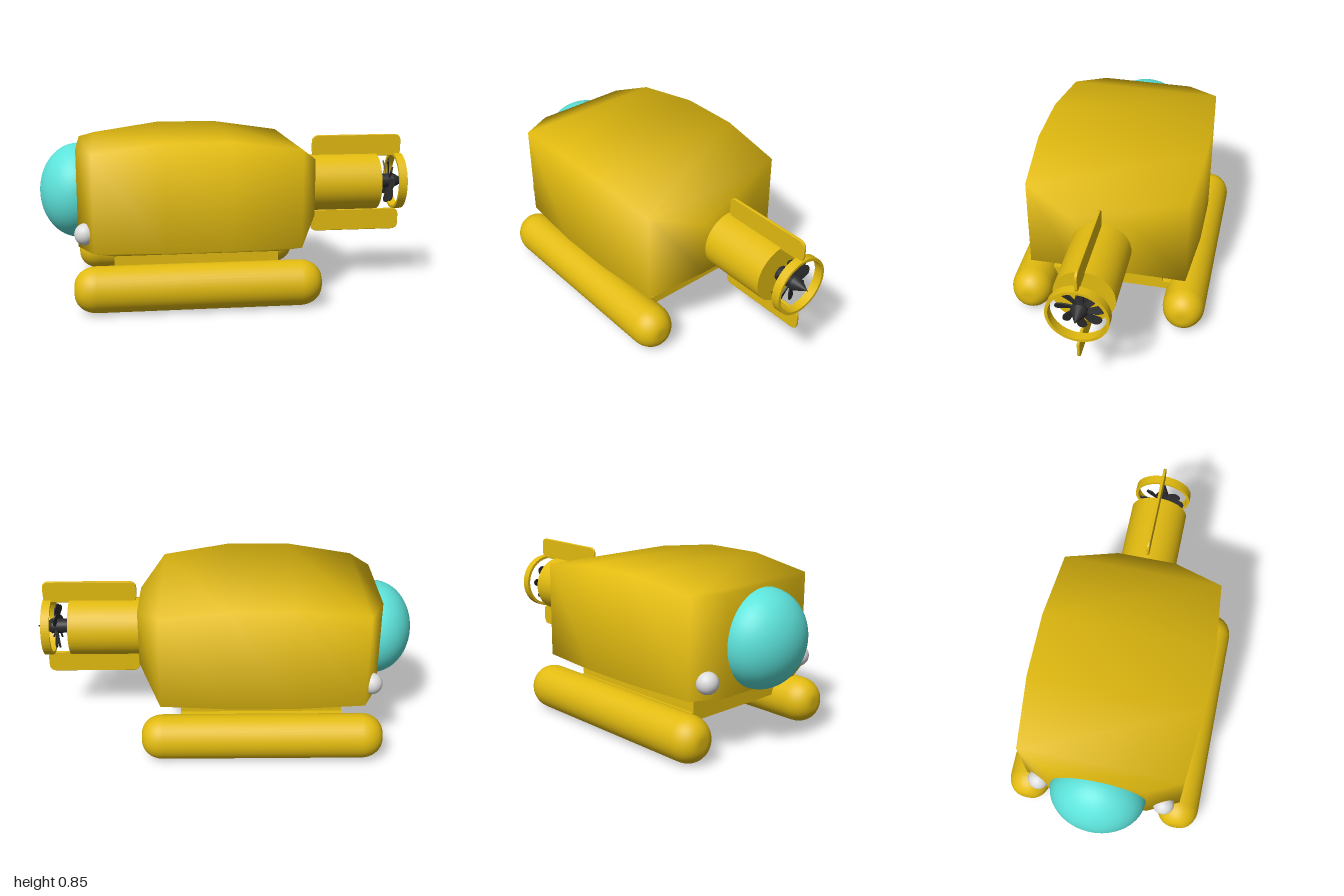
import * as THREE from 'three';
import { mergeVertices } from 'three/addons/utils/BufferGeometryUtils.js';

const material = (name, color) => {
  const m = new THREE.MeshStandardMaterial({ color });
  m.name = name;
  return m;
};

export function createModel() {
  const yellow = material('yellow paint', 0xe2bb10);
  const cyan = material('cyan glass', 0x5ce2da);
  const black = material('black metal', 0x2b2b2d);
  const white = material('white lamp', 0xdcdcdc);
  const model = new THREE.Group();
  model.name = 'submarine';

  const add = (name, geometry, mat, x = 0, y = 0, z = 0, parent = model) => {
    const mesh = new THREE.Mesh(geometry, mat);
    mesh.name = name;
    mesh.position.set(x, y, z);
    parent.add(mesh);
    return mesh;
  };
  // Cylinder or cone lying along x, from x0 (radius r0) to x1 (radius r1)
  const rod = (x0, x1, r0, r1) =>
    new THREE.CylinderGeometry(r1, r0, x1 - x0, 40).rotateZ(-Math.PI / 2).translate((x0 + x1) / 2, 0, 0);

  // Hull: smooth loft of box sections [x, bottom, top, half width], tapering down to the keel
  const sections = [
    [-0.8, 0.3, 0.8, 0.25], [-0.72, 0.3, 0.8, 0.415], [-0.36, 0.3, 0.85, 0.445],
    [-0.03, 0.3, 0.85, 0.445], [0.33, 0.3, 0.8, 0.415], [0.45, 0.41, 0.71, 0.155],
  ];
  const points = [], faces = [];
  const quad = (a, b, c, d) => faces.push(a, b, c, a, c, d);
  sections.forEach(([x, y0, y1, w], i) => {
    const kx = THREE.MathUtils.clamp(x, -0.62, 0.23);
    points.push(x, y1, w, x, y0, w, kx, 0.25, 0.28, kx, 0.25, -0.28, x, y0, -w, x, y1, -w);
    if (i === 0) return;
    const p = (i - 1) * 6, q = i * 6;
    for (let k = 0; k < 6; k++) {
      const n = (k + 1) % 6;
      quad(p + k, p + n, q + n, q + k);
    }
  });
  const e = (sections.length - 1) * 6;
  quad(0, 5, 4, 1);
  quad(1, 4, 3, 2);
  quad(e, e + 1, e + 4, e + 5);
  quad(e + 1, e + 2, e + 3, e + 4);
  let hull = new THREE.BufferGeometry();
  hull.setAttribute('position', new THREE.Float32BufferAttribute(points, 3));
  hull.setIndex(faces);
  hull = mergeVertices(hull);
  hull.computeVertexNormals();
  add('hull', hull, yellow);

  // Keel and the platform that carries the floats
  add('keel', new THREE.BoxGeometry(0.85, 0.09, 0.56), yellow, -0.195, 0.21, 0);
  add('floatPlatform', new THREE.BoxGeometry(0.85, 0.045, 0.8), yellow, -0.195, 0.163, 0);

  // Nose window
  const dome = new THREE.SphereGeometry(1, 48, 20, 0, Math.PI * 2, 0, Math.PI / 2)
    .rotateZ(Math.PI / 2).scale(0.2, 0.25, 0.245);
  add('noseWindow', dome, cyan, -0.8, 0.547, 0);

  // Round-ended floats and headlamps on both sides
  const profile = [new THREE.Vector2(0, -0.625)];
  for (const end of [-1, 1]) {
    for (let k = 0; k <= 10; k++) {
      const t = ((end < 0 ? k : 10 - k) / 10) * Math.PI / 2;
      profile.push(new THREE.Vector2(0.025 + 0.0925 * Math.sin(t), end * (0.515 + 0.11 * Math.cos(t))));
    }
  }
  profile.push(new THREE.Vector2(0, 0.625));
  const float = new THREE.LatheGeometry(profile, 40).rotateZ(-Math.PI / 2).scale(1, 1, 0.95);
  for (const side of [1, -1]) {
    const label = side > 0 ? 'left' : 'right';
    add(label + 'Float', float, yellow, -0.195, 0.1175, side * 0.414);
    add(label + 'Headlamp', new THREE.SphereGeometry(0.056, 28, 18), white, -0.76, 0.384, side * 0.333);
  }

  // Tail tube, propeller guard ring and fins
  const tail = new THREE.Group();
  tail.name = 'tail';
  tail.position.y = 0.558;
  model.add(tail);
  add('tailTube', rod(0.43, 0.82, 0.153, 0.153), yellow, 0, 0, 0, tail);
  const circle = (Type, r) => new Type().absarc(0, 0, r, 0, Math.PI * 2);
  const ringShape = circle(THREE.Shape, 0.154);
  ringShape.holes.push(circle(THREE.Path, 0.139));
  const ring = new THREE.ExtrudeGeometry(ringShape, { depth: 0.045, bevelEnabled: false, curveSegments: 32 })
    .rotateY(Math.PI / 2);
  add('guardRing', ring, yellow, 0.915, 0, 0, tail);

  const w = 0.245, h = 0.056, r = 0.035;
  const finShape = new THREE.Shape()
    .moveTo(-w + r, -h).lineTo(w - r, -h).quadraticCurveTo(w, -h, w, -h + r)
    .lineTo(w, h - r).quadraticCurveTo(w, h, w - r, h)
    .lineTo(-w + r, h).quadraticCurveTo(-w, h, -w, h - r)
    .lineTo(-w, -h + r).quadraticCurveTo(-w, -h, -w + r, -h);
  const fin = new THREE.ExtrudeGeometry(finShape, {
    depth: 0.006, bevelThickness: 0.004, bevelSize: 0.003, bevelSegments: 2, curveSegments: 8,
  }).translate(0, 0, -0.003);
  add('upperFin', fin, yellow, 0.71, 0.2, 0, tail);
  add('lowerFin', fin, yellow, 0.71, -0.215, 0, tail);

  // Propeller: shaft, hub, pointed spinner and eight swept, pitched blades
  const propeller = new THREE.Group();
  propeller.name = 'propeller';
  tail.add(propeller);
  add('shaft', rod(0.81, 0.92, 0.038, 0.038), black, 0, 0, 0, propeller);
  add('spinner', rod(0.92, 1, 0.041, 0), black, 0, 0, 0, propeller);
  const bladeShape = new THREE.Shape()
    .moveTo(-0.012, 0.025).bezierCurveTo(-0.01, 0.06, -0.035, 0.08, -0.042, 0.105)
    .bezierCurveTo(-0.043, 0.125, -0.015, 0.13, 0, 0.112)
    .bezierCurveTo(0.014, 0.09, 0.018, 0.06, 0.012, 0.025);
  const blade = new THREE.ExtrudeGeometry(bladeShape, { depth: 0.007, bevelEnabled: false, curveSegments: 8 })
    .translate(0, 0, -0.0035).rotateY(Math.PI / 2 - 0.35);
  for (let i = 0; i < 8; i++) {
    const b = add('blade' + (i + 1), blade, black, 0.898, 0, 0, propeller);
    b.rotation.x = (i * Math.PI) / 4 - 0.1;
  }
  return model;
}
